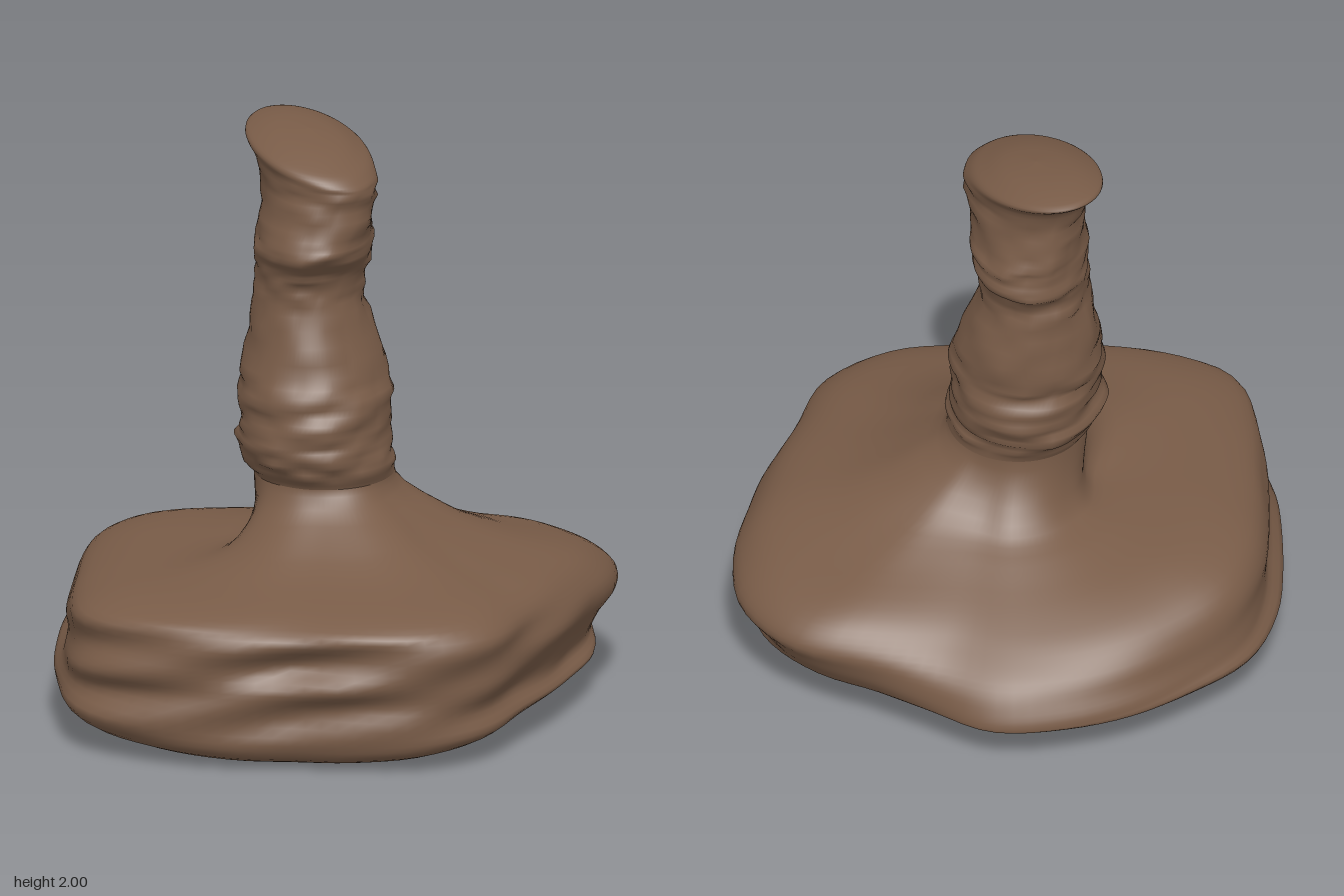
import * as THREE from 'three';

const SEG = 96;
const lerp = THREE.MathUtils.lerp;
const smooth = THREE.MathUtils.smoothstep;

// Seeded value noise that wraps around the angle
const hash = (i, j) => {
  const s = Math.sin(i * 127.1 + j * 311.7 + 4.3) * 43758.5453;
  return s - Math.floor(s);
};
function noise(theta, y, cols, rowsPerUnit) {
  const u = (theta / (Math.PI * 2)) * cols, v = y * rowsPerUnit;
  const i = Math.floor(u), j = Math.floor(v);
  const a = u - i, b = smooth(v - j, 0, 1);
  const h = (p, q) => hash(p % cols, q);
  return lerp(lerp(h(i, j), h(i + 1, j), a), lerp(h(i, j + 1), h(i + 1, j + 1), a), b) * 2 - 1;
}

// Smooth surface through closed rings running from bottom to top
function loft(rowCount, pointAt) {
  const pos = [], index = [];
  for (let r = 0; r < rowCount; r++) {
    for (let s = 0; s < SEG; s++) {
      pos.push(...pointAt(r, (s / SEG) * Math.PI * 2));
      if (r === rowCount - 1) continue;
      const a = r * SEG + s, b = r * SEG + ((s + 1) % SEG);
      index.push(a, a + SEG, b, b, a + SEG, b + SEG);
    }
  }
  const geo = new THREE.BufferGeometry();
  geo.setAttribute('position', new THREE.Float32BufferAttribute(pos, 3));
  geo.setIndex(index);
  geo.computeVertexNormals();
  return geo;
}

// Catmull-Rom through a list of numbers, t counted in list steps
function spline(list, t, closed) {
  const n = list.length, i = Math.min(Math.floor(t), closed ? n : n - 2), f = t - i;
  const at = k => list[closed ? (k + n) % n : Math.min(Math.max(k, 0), n - 1)];
  const [a, b, c, d] = [at(i - 1), at(i), at(i + 1), at(i + 2)];
  return b + 0.5 * f * (c - a + f * (2 * a - 5 * b + 4 * c - d + f * (3 * (b - c) + d - a)));
}

// Base outline: radius every 15 degrees from +x towards +z
const OUTLINE = [0.89, 0.87, 0.875, 0.94, 0.94, 0.88, 0.85, 0.92, 1.0, 1.06, 0.99, 0.93,
  0.915, 0.94, 0.96, 0.93, 0.92, 0.91, 0.905, 0.86, 0.89, 0.98, 1.0, 0.955];

// Edge profiles of the base: direction in degrees, fractions of the outline, heights
const PROFILES = [
  { angle: 0, out: [0.5, 0.8, 0.95, 0.91, 0.95, 1, 0.97, 0.86, 0.6, 0.38, 0.25],
    up: [0.04, 0.1, 0.15, 0.2, 0.29, 0.37, 0.45, 0.53, 0.6, 0.7, 0.82] },
  { angle: 90, out: [0.7, 0.92, 0.98, 0.97, 1, 0.97, 0.99, 0.88, 0.65, 0.45, 0.29],
    up: [0.005, 0.03, 0.1, 0.22, 0.3, 0.38, 0.47, 0.53, 0.59, 0.68, 0.82] },
  { angle: 180, out: [0.5, 0.82, 1, 0.96, 0.95, 0.95, 0.89, 0.72, 0.45, 0.28, 0.27],
    up: [0.05, 0.1, 0.2, 0.27, 0.33, 0.41, 0.5, 0.55, 0.56, 0.6, 0.82] },
  { angle: 270, out: [0.4, 0.75, 0.96, 1, 0.97, 0.91, 0.8, 0.68, 0.5, 0.36, 0.255],
    up: [0.04, 0.1, 0.17, 0.2, 0.26, 0.33, 0.4, 0.46, 0.54, 0.62, 0.82] },
  { angle: 315, out: [0.45, 0.74, 0.87, 0.93, 0.97, 1, 0.96, 0.84, 0.6, 0.38, 0.26],
    up: [0.05, 0.12, 0.18, 0.24, 0.3, 0.36, 0.42, 0.48, 0.55, 0.65, 0.82] },
];

function basePoint(row, theta) {
  const t = row / 4, deg = THREE.MathUtils.radToDeg(theta);
  const from = PROFILES.findLast(p => p.angle <= deg + 1e-6);
  const to = PROFILES[(PROFILES.indexOf(from) + 1) % PROFILES.length];
  const mix = smooth(deg, from.angle, to.angle || 360);
  // Every profile starts at the middle of the underside
  const get = (key, start) => lerp(spline([start, ...from[key]], t), spline([start, ...to[key]], t), mix);
  const y = get('up', 0.02);
  // Slanting rock ledges around the wall, strongest at the front
  const wall = smooth(t, 2.5, 4) * (1 - smooth(t, 6.5, 8));
  const ledge = 0.018 * Math.sin(34 * y + 7 * theta) * Math.max(0, Math.sin(theta))
    + 0.01 * noise(theta, y, 14, 14) - 0.004;
  const r = Math.max(0, get('out', 0)) * spline(OUTLINE, theta / (Math.PI / 12), true) * (1 + wall * ledge);
  // The neck flows into the foot of the column
  const foot = columnPoint(4, theta), w = smooth(t, 10, 11);
  return [lerp(r * Math.cos(theta), foot[0], w), y, lerp(r * Math.sin(theta), foot[2], w)];
}

// Column sections: [y, min x, max x, max z, min z]
const COLUMN = [
  [0.76, -0.24, 0.2, 0.23, -0.21], [0.82, -0.26, 0.215, 0.255, -0.23],
  [0.88, -0.3, 0.21, 0.29, -0.25], [0.94, -0.32, 0.21, 0.31, -0.28],
  [1.01, -0.3, 0.2, 0.305, -0.29], [1.1, -0.32, 0.2, 0.285, -0.27],
  [1.2, -0.31, 0.175, 0.25, -0.285], [1.4, -0.275, 0.105, 0.185, -0.26],
  [1.5, -0.265, 0.1, 0.18, -0.255], [1.56, -0.265, 0.125, 0.205, -0.29],
  [1.62, -0.265, 0.14, 0.245, -0.29], [1.68, -0.26, 0.14, 0.23, -0.27],
  [1.8, -0.255, 0.15, 0.2, -0.25], [1.88, -0.275, 0.155, 0.2, -0.27],
  [1.925, -0.32, 0.135, 0.19, -0.335], [1.95, -0.29, 0.09, 0.14, -0.3],
  [1.975, -0.21, 0.02, 0.04, -0.2], [1.985, -0.09, -0.09, -0.08, -0.08],
];

function columnPoint(row, theta) {
  const t = row / 4;
  const [y, x0, x1, z1, z0] = [0, 1, 2, 3, 4].map(k => spline(COLUMN.map(c => c[k]), t));
  // Short ragged streaks on the shaft, fading at the neck and the top
  const rough = smooth(t, 0.5, 2) * (1 - smooth(t, 12.2, 13.6));
  const k = 1 + rough * (0.045 * noise(theta, y, 16, 30) + 0.03 * noise(theta, y + 5, 9, 55));
  // Towards the top the section stretches along the x = z diagonal
  const skew = 0.35 * smooth(t, 9, 13);
  const x = (x0 + x1) / 2 + (k * (x1 - x0) / 2) * Math.cos(theta - skew / 2);
  const z = (z0 + z1) / 2 + (k * (z1 - z0) / 2) * Math.sin(theta + skew / 2);
  // The top leans up towards -x -z
  const tilt = 0.12 * smooth(t, 11.5, 14);
  return [x, y - tilt * (x + z + 0.15), z];
}

export function createModel() {
  const brown = new THREE.MeshStandardMaterial({ color: 0x785b47 });
  brown.name = 'earthBrown';
  const model = new THREE.Group();
  model.name = 'rockPillar';

  const base = new THREE.Mesh(loft(PROFILES[0].out.length * 4 + 1, basePoint), brown);
  base.name = 'rockBase';
  const column = new THREE.Mesh(loft((COLUMN.length - 1) * 4 + 1, columnPoint), brown);
  column.name = 'column';
  model.add(base, column);
  return model;
}
